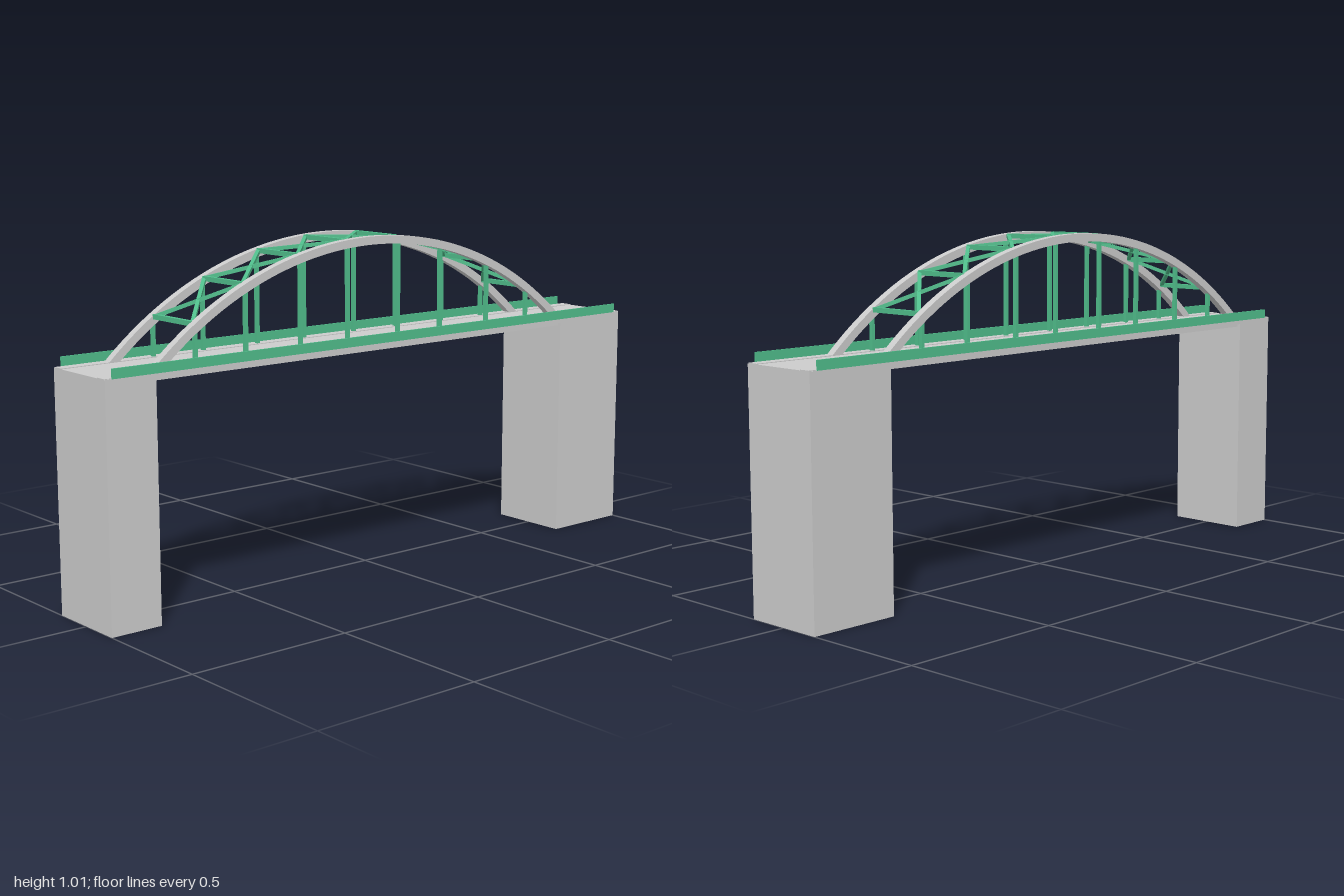
import * as THREE from 'three';
import { toCreasedNormals } from 'three/addons/utils/BufferGeometryUtils.js';

const grey = new THREE.MeshStandardMaterial({ color: 0xcccccc, side: THREE.DoubleSide });
const green = new THREE.MeshStandardMaterial({ color: 0x50bd8b });

const DECK = 0.7;                        // roadway level
const ARC = { z: 0.055, y: -0.146, r: 1.161, t: 0.024 }; // circle of the arch ribs
const RIB_X = 0.102, RIB_W = 0.025;
const STATIONS = [-0.582, -0.407, -0.21, -0.04, 0.155, 0.33, 0.524, 0.695];

export function createModel() {
  const model = new THREE.Group();

  const add = (parent, name, geometry, material) => {
    const mesh = new THREE.Mesh(geometry, material);
    mesh.name = name;
    parent.add(mesh);
    return mesh;
  };

  // box given by its limits on each axis
  const box = (name, [x0, x1], [y0, y1], [z0, z1], material, parent = model) => {
    const mesh = add(parent, name, new THREE.BoxGeometry(x1 - x0, y1 - y0, z1 - z0), material);
    mesh.position.set((x0 + x1) / 2, (y0 + y1) / 2, (z0 + z1) / 2);
    return mesh;
  };

  // square bar between two points
  const bar = (parent, name, a, b, size) => {
    const mesh = add(parent, name, new THREE.BoxGeometry(size, size, a.distanceTo(b)), green);
    mesh.position.copy(a).lerp(b, 0.5);
    mesh.lookAt(b);
    return mesh;
  };

  // height of the arch circle at a given z
  const archY = (z, r) => ARC.y + Math.sqrt(r * r - (z - ARC.z) ** 2);

  // piers: hollow shells, open at the bottom
  for (const [name, z] of [['frontPier', [0.84, 1]], ['backPier', [-1, -0.72]]]) {
    const pier = box(name, [-0.128, 0.128], [0, DECK], z, grey);
    const index = Array.from(pier.geometry.index.array);
    index.splice(18, 6);
    pier.geometry.setIndex(index);
    pier.geometry.clearGroups();
  }

  // roadway slab between the piers
  box('deck', [-0.128, 0.128], [0.688, DECK], [-0.72, 0.84], grey);

  // arch rib profile, cut level with the deck
  const inner = ARC.r - ARC.t;
  const halfOuter = Math.acos((DECK - ARC.y) / ARC.r);
  const halfInner = Math.acos((DECK - ARC.y) / inner);
  const profile = new THREE.Shape();
  profile.absarc(ARC.z, ARC.y, ARC.r, Math.PI / 2 - halfOuter, Math.PI / 2 + halfOuter, false);
  profile.absarc(ARC.z, ARC.y, inner, Math.PI / 2 + halfInner, Math.PI / 2 - halfInner, true);
  profile.closePath();
  let ribGeometry = new THREE.ExtrudeGeometry(profile, { depth: RIB_W, bevelEnabled: false, curveSegments: 36 });
  ribGeometry.translate(0, 0, -RIB_W / 2).rotateY(-Math.PI / 2);
  ribGeometry = toCreasedNormals(ribGeometry, 0.5);

  // both sides: rib, railing, kerb, girders and hangers
  for (const s of [1, -1]) {
    const side = new THREE.Group();
    side.name = s > 0 ? 'leftSide' : 'rightSide';
    model.add(side);
    const span = (a, b) => (s > 0 ? [a, b] : [-b, -a]);

    add(side, 'archRib', ribGeometry, grey).position.x = s * RIB_X;
    box('railing', span(0.125, 0.13), [DECK, 0.728], [-0.975, 0.978], green, side);
    box('kerb', span(0.09, 0.125), [DECK - 0.002, DECK + 0.002], [-1, 1], grey, side);
    box('outerGirder', span(0.1, 0.118), [0.679, 0.69], [-0.72, 0.84], grey, side);
    box('innerGirder', span(0.075, 0.087), [0.682, 0.69], [-0.72, 0.84], grey, side);

    for (const z of STATIONS) {
      box('hanger', [s * RIB_X - 0.006, s * RIB_X + 0.006], [DECK, archY(z, ARC.r - ARC.t / 2)],
        [z - 0.005, z + 0.005], green, side);
    }
  }

  // cross struts and X bracing between the ribs
  const bracing = new THREE.Group();
  bracing.name = 'archBracing';
  model.add(bracing);
  const node = (x, z) => new THREE.Vector3(x, archY(z, ARC.r - 0.006), z);
  const X = 0.091;
  STATIONS.forEach((z, i) => {
    bar(bracing, 'crossStrut', node(-X, z), node(X, z), 0.014);
    if (i === 0) return;
    const prev = STATIONS[i - 1];
    bar(bracing, 'diagonalBrace', node(-X, prev), node(X, z), 0.011);
    bar(bracing, 'diagonalBrace', node(X, prev), node(-X, z), 0.011);
  });

  return model;
}
